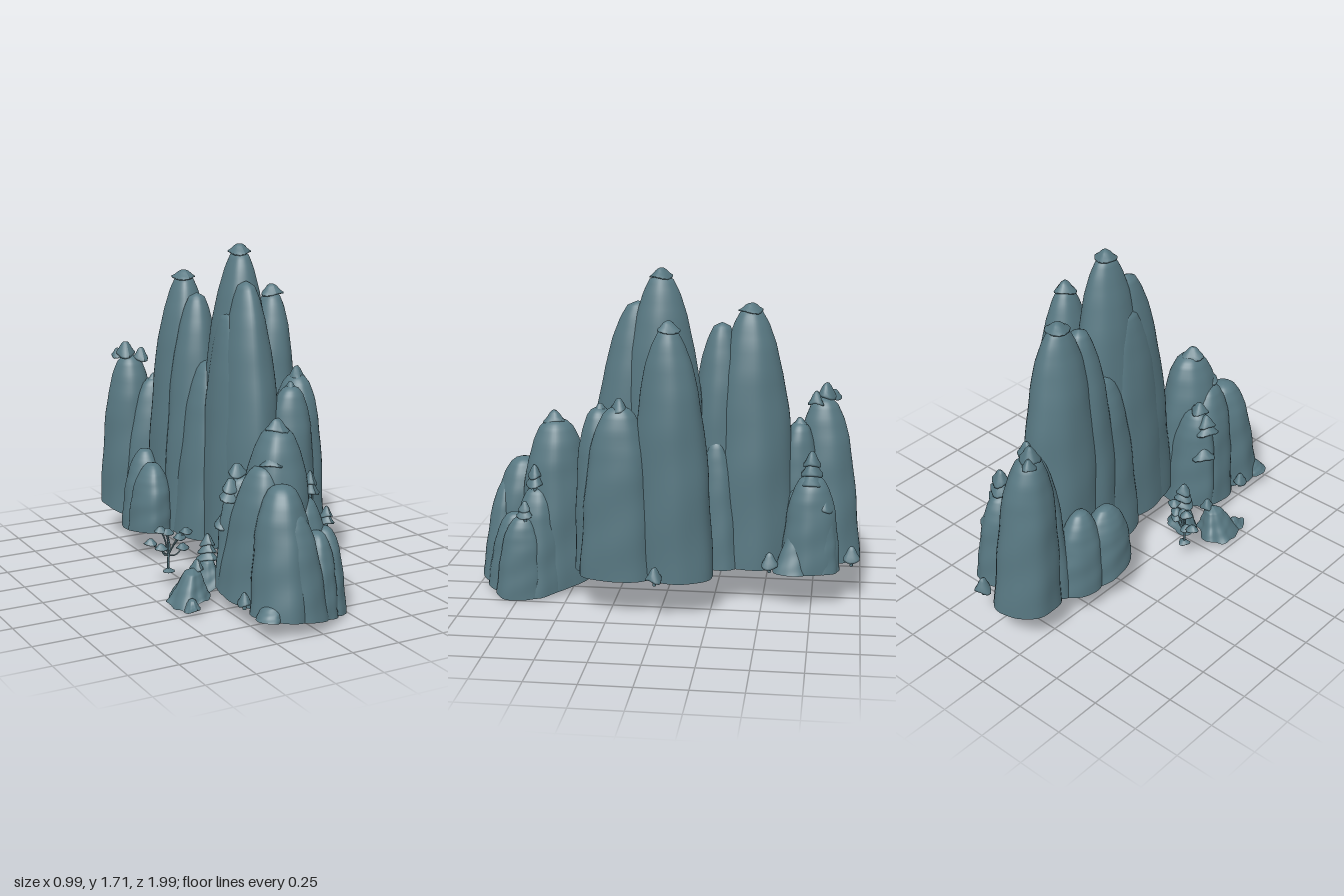
import * as THREE from 'three';

const rock = new THREE.MeshStandardMaterial({ color: 0x587882 });
rock.name = 'slate blue';

// Height of the underside at a point, for the rear ridge, the front outcrop and the islets
const ridgeBase = (x, z) => 0.19 - 0.08 * Math.exp(-(((x + 0.22) / 0.17) ** 2) - ((z + 0.52) / 0.2) ** 2);
const outcropBase = (x, z) => Math.max(0, 0.035 - 0.14 * x + 0.02 * ((z - 0.75) / 0.25) ** 2);
const isletBase = (x, z) => 0.045 + 0.015 * Math.sin(x * 40) * Math.cos(z * 45) + 0.14 * (x + 0.3);

// Radius of a spire against its height
const steep = [[0, 1], [0.2, 0.97], [0.4, 0.93], [0.6, 0.84], [0.75, 0.71], [0.86, 0.56], [0.94, 0.39], [0.985, 0.24], [1, 0]];
const domed = [[0, 1], [0.2, 0.95], [0.4, 0.89], [0.6, 0.81], [0.75, 0.71], [0.87, 0.57], [0.95, 0.41], [0.99, 0.24], [1, 0]];
const flared = [[0, 1], [0.25, 0.8], [0.55, 0.6], [0.85, 0.4], [1, 0]];
function radiusAt(profile, t) {
  let i = 1;
  while (i < profile.length - 1 && profile[i][0] < t) i++;
  const [t0, r0] = profile[i - 1], [t1, r1] = profile[i];
  return r0 + (r1 - r0) * (t - t0) / (t1 - t0);
}

// Closed, fluted column: foot ellipse [x, z, rx, rz], peak [x, z, y]
function spire(name, foot, peak, baseFn, profile, seed, flute) {
  const [fx, fz, rx, rz] = foot, [px, pz, top] = peak;
  const around = 48, up = 30, pos = [], idx = [];
  const rows = [[0, 0], [0, 1], [0, 1]];
  for (let i = 1; i <= up; i++) {
    const t = 1 - (1 - i / up) ** 1.5;
    rows.push([t, radiusAt(profile, t)]);
  }
  for (const [t, r] of rows) {
    const cx = fx + (px - fx) * t, cz = fz + (pz - fz) * t;
    for (let j = 0; j < around; j++) {
      const a = j / around * Math.PI * 2;
      const wave = Math.sin(a * 3 + seed) + 0.7 * Math.sin(a * 5 + seed * 2.3 + t) + 0.4 * Math.sin(a * 8 + seed * 3.1);
      const k = r * (1 + flute * wave * (1 - 0.5 * t) + 0.015 * Math.sin(t * 17 + seed + a * 2));
      const x = cx + Math.cos(a) * rx * k, z = cz + Math.sin(a) * rz * k;
      const b = baseFn(x, z);
      pos.push(x, b + (top - b) * t, z);
    }
  }
  for (let i = 0; i < rows.length - 1; i++) {
    for (let j = 0; j < around; j++) {
      const n = (j + 1) % around, a = i * around + j, b = i * around + n;
      idx.push(a, a + around, b, b, a + around, b + around);
    }
  }
  const geo = new THREE.BufferGeometry();
  geo.setAttribute('position', new THREE.Float32BufferAttribute(pos, 3));
  geo.setIndex(idx);
  geo.computeVertexNormals();
  const mesh = new THREE.Mesh(geo, rock);
  mesh.name = name;
  return mesh;
}

// Drooping cap or tree canopy, wavy at the rim
function canopy(name, x, y, z, r, h) {
  const pts = [[0, 0.1], [0.7, 0.02], [1, 0.02], [1, 0.16], [0.72, 0.42], [0.48, 0.75], [0.24, 0.95], [0, 1]]
    .map(([a, b]) => new THREE.Vector2(a * r, b * h));
  const geo = new THREE.LatheGeometry(pts, 14);
  const p = geo.attributes.position;
  for (let i = 0; i < p.count; i++) {
    const a = Math.atan2(p.getZ(i), p.getX(i)), d = Math.hypot(p.getX(i), p.getZ(i)) / r;
    const k = 1 + 0.13 * d * Math.sin(a * 3 + x * 20 + z * 9);
    p.setXYZ(i, p.getX(i) * k, p.getY(i) + 0.12 * h * d * Math.sin(a * 2 + z * 15), p.getZ(i) * k);
  }
  geo.computeVertexNormals();
  const mesh = new THREE.Mesh(geo, rock);
  mesh.name = name;
  mesh.position.set(x, y, z);
  return mesh;
}

function branch(name, points, r) {
  const curve = new THREE.CatmullRomCurve3(points.map(p => new THREE.Vector3(...p)));
  const mesh = new THREE.Mesh(new THREE.TubeGeometry(curve, 8, r, 6), rock);
  mesh.name = name;
  return mesh;
}

// Small tree: trunk with stacked canopies
function tree(x, y, z, h, r, tiers) {
  const g = new THREE.Group();
  g.name = 'tree';
  g.add(branch('trunk', [[x, y, z], [x, y + h * 0.3, z], [x, y + h * 0.8, z]], 0.009));
  for (let i = 0; i < tiers; i++) {
    const f = i / tiers;
    g.add(canopy('canopy', x, y + h * (0.25 + 0.75 * f), z, r * (1 - 0.5 * f), h * (tiers > 1 ? 0.85 : 0.7) / Math.max(1, tiers * 0.75)));
  }
  return g;
}

export function createModel() {
  const model = new THREE.Group();
  model.name = 'rockSpires';

  // Rear ridge
  const ridge = new THREE.Group();
  ridge.name = 'rearRidge';
  [
    ['tallSpire', [0.06, 0.02, 0.175, 0.23], [0.09, 0.02, 1.68], steep, 0.4],
    ['tallSpireShoulder', [0.045, 0.225, 0.155, 0.21], [0.06, 0.14, 1.54], steep, 1.9],
    ['tallSpireFlank', [-0.03, 0.12, 0.1, 0.2], [-0.01, 0.08, 1.38], steep, 2.6],
    ['leftSpire', [0.265, -0.07, 0.165, 0.2], [0.31, -0.04, 1.45], steep, 3.1],
    ['leftFrontSpire', [0.29, 0.21, 0.15, 0.2], [0.32, 0.2, 1.06], domed, 4.2],
    ['leftFrontShoulder', [0.2, 0.29, 0.15, 0.155], [0.22, 0.315, 1.03], domed, 5.5],
    ['middleSpire', [-0.01, -0.44, 0.18, 0.22], [0.0, -0.42, 1.51], steep, 1.2],
    ['middleShoulder', [-0.03, -0.26, 0.16, 0.17], [0.0, -0.275, 1.43], steep, 2.2],
    ['saddle', [-0.05, -0.13, 0.14, 0.18], [-0.01, -0.13, 1.1], domed, 0.9],
    ['leftSaddle', [0.12, -0.28, 0.08, 0.1], [0.1, -0.26, 0.85], domed, 3.9],
    ['backSpire', [-0.14, -0.82, 0.16, 0.175], [-0.15, -0.79, 1.03], domed, 3.7],
    ['backShoulder', [-0.1, -0.66, 0.15, 0.13], [-0.06, -0.67, 0.92], domed, 4.9],
    ['backSaddle', [0.02, -0.69, 0.1, 0.12], [0.02, -0.68, 0.6], domed, 0.8],
    ['backLeftSpire', [0.1, -0.74, 0.12, 0.15], [0.09, -0.74, 0.68], domed, 0.2],
    ['backLeftStub', [0.12, -0.8, 0.08, 0.085], [0.11, -0.8, 0.52], domed, 2.8],
    ['backLeftFoot', [0.16, -0.65, 0.085, 0.095], [0.13, -0.67, 0.42], flared, 4.1],
    ['rightStub', [-0.24, -0.36, 0.11, 0.15], [-0.23, -0.35, 0.53], steep, 1.5],
    ['rightBackStub', [-0.21, -0.52, 0.11, 0.14], [-0.2, -0.5, 0.57], steep, 5.1],
  ].forEach(([n, f, p, prof, s]) => ridge.add(spire(n, f, p, ridgeBase, prof, s, 0.025)));

  // Front outcrop
  const outcrop = new THREE.Group();
  outcrop.name = 'frontOutcrop';
  [
    ['outcropPeak', [-0.03, 0.59, 0.19, 0.21], [-0.01, 0.58, 0.91], 0.7],
    ['outcropFrontDome', [-0.11, 0.825, 0.165, 0.165], [-0.095, 0.77, 0.68], 2.1],
    ['outcropRightDome', [-0.15, 0.56, 0.14, 0.18], [-0.11, 0.62, 0.74], 3.3],
    ['outcropBackDome', [-0.12, 0.47, 0.15, 0.12], [-0.14, 0.48, 0.66], 4.4],
    ['outcropLeftDome', [0.1, 0.67, 0.12, 0.15], [0.09, 0.66, 0.57], 1.1],
    ['outcropLeftFoot', [0.155, 0.75, 0.1, 0.125], [0.16, 0.73, 0.43], 5.2],
    ['outcropInnerFoot', [0.07, 0.82, 0.1, 0.125], [0.09, 0.78, 0.43], 1.7],
    ['outcropFrontFoot', [-0.05, 0.885, 0.13, 0.11], [-0.08, 0.85, 0.56], 0.3],
    ['outcropCorner', [-0.24, 0.91, 0.06, 0.065], [-0.2, 0.88, 0.16], 2.7],
  ].forEach(([n, f, p, s]) => outcrop.add(spire(n, f, p, outcropBase, domed, s, 0.035)));

  // Ragged caps on the peaks
  [
    [0.09, 1.66, 0.02, 0.055, 0.05], [0.31, 1.43, -0.04, 0.055, 0.055], [0.0, 1.485, -0.42, 0.06, 0.045],
    [0.32, 1.03, 0.2, 0.045, 0.07], [0.22, 1.01, 0.31, 0.03, 0.04], [-0.02, 0.89, 0.59, 0.055, 0.06],
    [-0.17, 1.02, -0.8, 0.05, 0.08], [-0.1, 1.0, -0.75, 0.04, 0.07], [-0.2, 1.01, -0.84, 0.035, 0.05],
    [-0.06, 0.9, -0.67, 0.035, 0.04], [-0.08, 0.74, 0.65, 0.055, 0.05], [-0.17, 0.66, 0.47, 0.045, 0.06],
  ].forEach(c => model.add(canopy('peakCap', ...c)));

  // Trees on ledges and at the foot of the rock: x, y, z, height, radius, tiers
  [
    [0.12, 0.55, 0.67, 0.12, 0.045, 2], [0.19, 0.41, 0.71, 0.09, 0.04, 2], [0.1, 0.58, -0.74, 0.2, 0.065, 3],
    [0.13, 0.48, -0.81, 0.1, 0.04, 1], [0.46, 0.19, 0.01, 0.1, 0.04, 1], [0.19, 0.19, -0.54, 0.11, 0.04, 1],
    [0.04, 0.19, -0.95, 0.11, 0.04, 1], [-0.21, 0.52, 0.48, 0.11, 0.06, 2], [-0.22, 0.38, 0.45, 0.1, 0.06, 1],
    [-0.27, 0.08, 0.73, 0.09, 0.035, 1],
  ].forEach(t => model.add(tree(...t)));

  // Islets beside the outcrop
  const islets = new THREE.Group();
  islets.name = 'islets';
  islets.add(
    spire('largeIslet', [-0.39, 0.38, 0.105, 0.11], [-0.36, 0.37, 0.19], isletBase, flared, 1.4, 0.09),
    spire('isletSpit', [-0.43, 0.5, 0.04, 0.045], [-0.42, 0.48, 0.08], isletBase, flared, 2.4, 0.1),
    spire('smallIslet', [-0.23, 0.28, 0.08, 0.08], [-0.23, 0.28, 0.2], isletBase, flared, 3.4, 0.08),
    tree(-0.23, 0.15, 0.28, 0.15, 0.055, 3),
    tree(-0.33, 0.15, 0.36, 0.08, 0.035, 1),
  );

  // Thin tree with spreading pads
  const padTree = new THREE.Group();
  padTree.name = 'spreadingTree';
  padTree.add(branch('trunk', [[-0.37, 0.1, 0.12], [-0.37, 0.16, 0.12], [-0.36, 0.22, 0.115], [-0.37, 0.28, 0.11]], 0.006));
  padTree.add(canopy('rootFoot', -0.37, 0.095, 0.12, 0.03, 0.018));
  [[-0.45, 0.24, 0.085], [-0.4, 0.3, 0.095], [-0.37, 0.29, 0.11], [-0.31, 0.26, 0.125], [-0.28, 0.29, 0.14], [-0.4, 0.21, 0.1], [-0.3, 0.21, 0.14]]
    .forEach(([x, y, z]) => {
      padTree.add(branch('branch', [[-0.37, 0.18, 0.12], [(x - 0.37) / 2, y - 0.03, (z + 0.12) / 2], [x, y + 0.005, z]], 0.004));
      padTree.add(canopy('leafPad', x, y, z, 0.032, 0.03));
    });

  model.add(ridge, outcrop, islets, padTree);
  return model;
}
